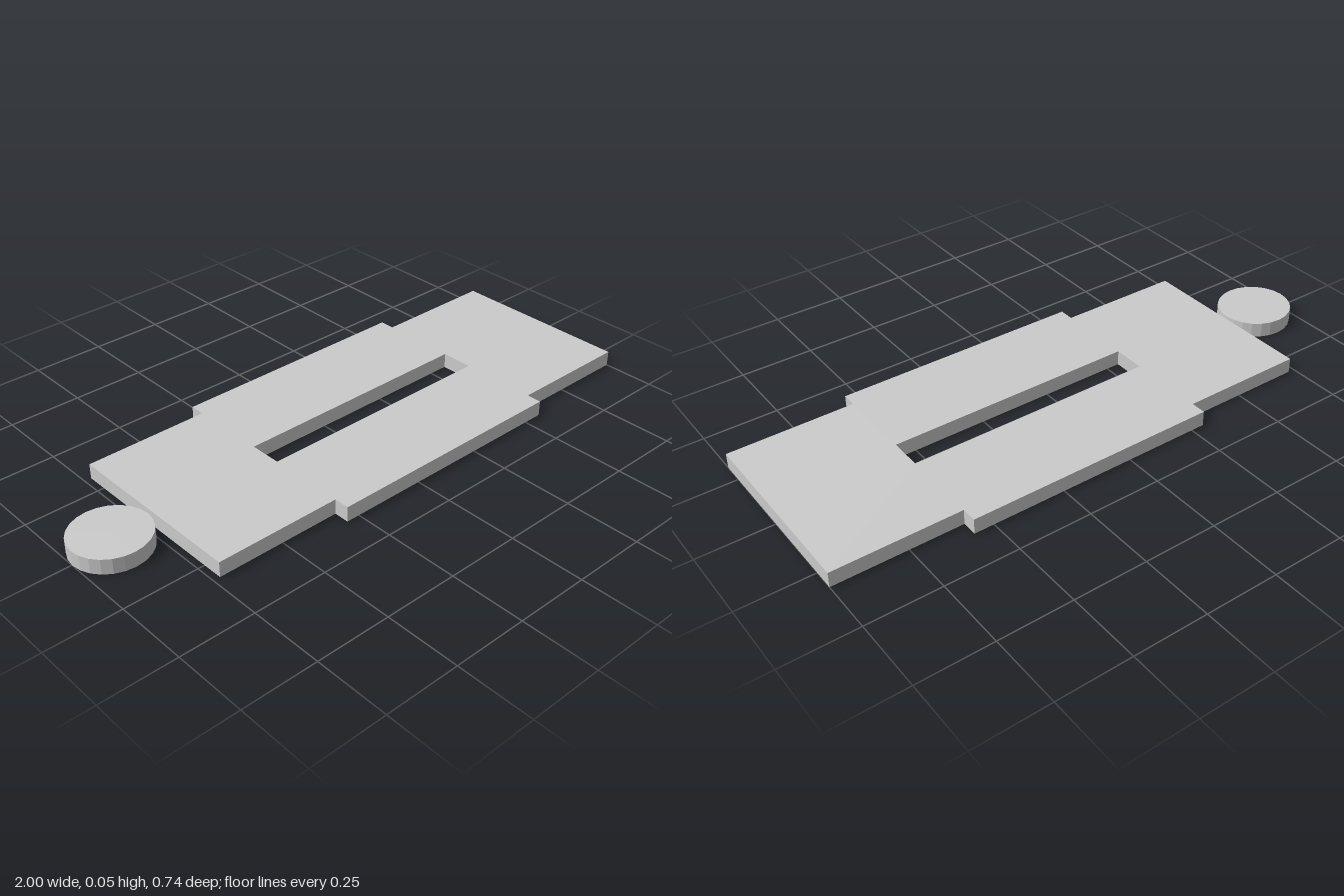
import * as THREE from 'three';

const THICKNESS = 0.052;

export function createModel() {
  const group = new THREE.Group();
  const material = new THREE.MeshStandardMaterial({ color: 0xcccccc, flatShading: true });

  // Plate outline: wider middle section, stepped in at both ends
  const [x0, x1, x2, x3] = [-0.727, -0.296, 0.567, 1];
  const endZ = 0.32, midZ = 0.372, slotZ = 0.056;
  const side = [[x0, endZ], [x1, endZ], [x1, midZ], [x2, midZ], [x2, endZ], [x3, endZ]];
  const mirrored = side.map(([x, z]) => [x, -z]).reverse();
  const toPoints = (list) => list.map(([x, y]) => new THREE.Vector2(x, y));
  const outline = new THREE.Shape(toPoints([...side, ...mirrored]));

  // Long slot through the middle
  outline.holes.push(new THREE.Path(toPoints([[x1, -slotZ], [x2, -slotZ], [x2, slotZ], [x1, slotZ]])));

  const plateGeometry = new THREE.ExtrudeGeometry(outline, { depth: THICKNESS, bevelEnabled: false });
  plateGeometry.rotateX(-Math.PI / 2);
  const plate = new THREE.Mesh(plateGeometry, material);
  plate.name = 'slottedPlate';
  group.add(plate);

  // Slightly oval loose disc beside the plate
  const disc = new THREE.Mesh(new THREE.CylinderGeometry(1, 1, THICKNESS, 24), material);
  disc.name = 'disc';
  disc.scale.set(0.13, 1, 0.1245);
  disc.position.set(-0.87, THICKNESS / 2, 0.003);
  group.add(disc);

  return group;
}
